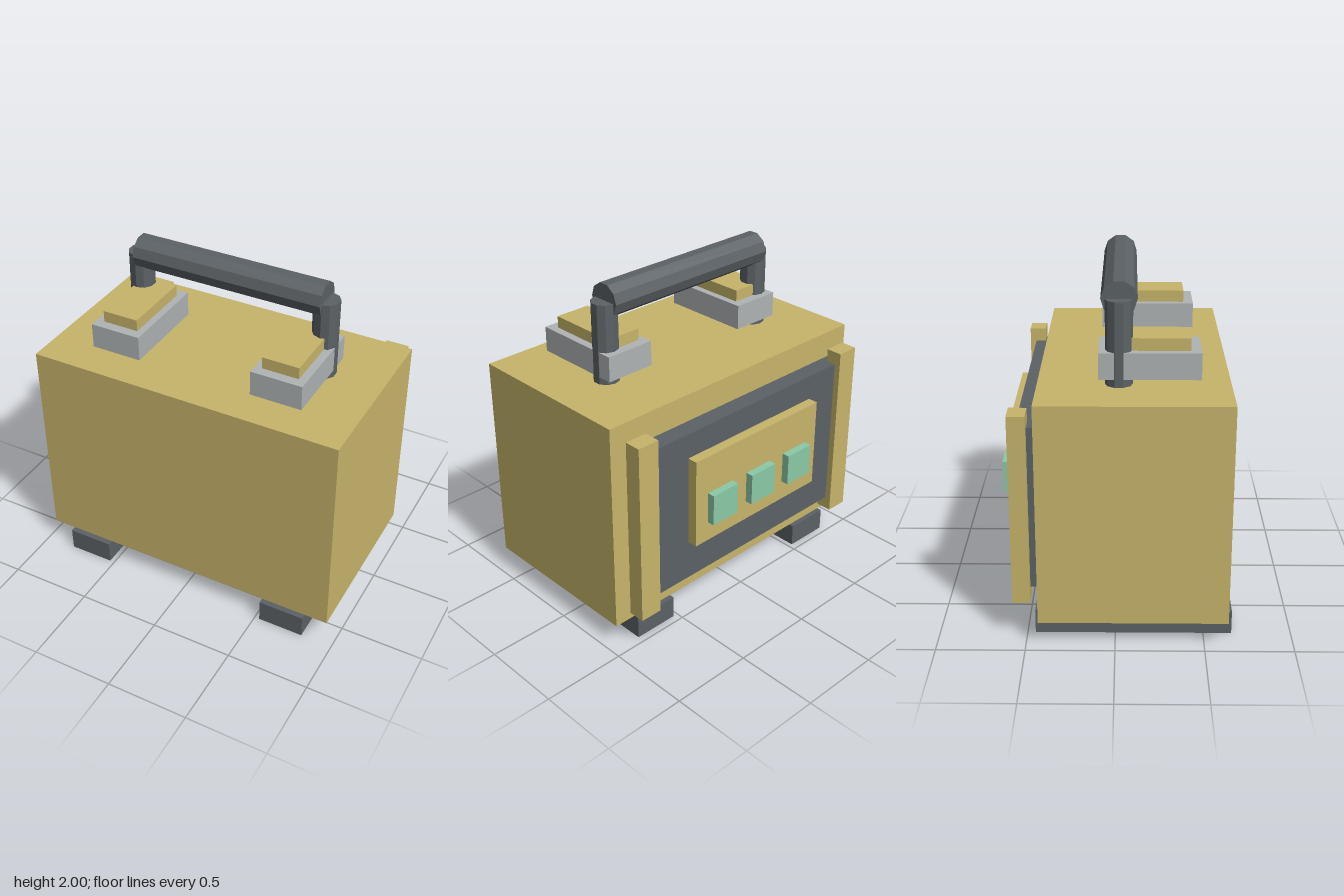
import * as THREE from 'three';

const mat = (name, color, flatShading = false) => {
  const m = new THREE.MeshStandardMaterial({ color, flatShading });
  m.name = name;
  return m;
};

export function createModel() {
  const gold = mat('gold', 0xc8b56b);
  const dark = mat('darkGrey', 0x5c6266, true);
  const grey = mat('lightGrey', 0xb0b4b5);
  const green = mat('green', 0x8ccaa8);
  const model = new THREE.Group();
  model.name = 'carryCase';

  const add = (name, geometry, material, x, y, z) => {
    const mesh = new THREE.Mesh(geometry, material);
    mesh.name = name;
    mesh.position.set(x, y, z);
    model.add(mesh);
    return mesh;
  };
  // Box given by its limits along each axis
  const box = (name, material, [x0, x1], [y0, y1], [z0, z1]) =>
    add(name, new THREE.BoxGeometry(x1 - x0, y1 - y0, z1 - z0), material,
      (x0 + x1) / 2, (y0 + y1) / 2, (z0 + z1) / 2);

  box('body', gold, [-0.95, 0.95], [0.146, 1.43], [-0.43, 0.632]);

  // Back panel with raised plate and three buttons
  box('backPanel', dark, [-0.835, 0.835], [0.31, 1.265], [-0.537, -0.43]);
  box('buttonPlate', gold, [-0.5, 0.5], [0.57, 1.123], [-0.611, -0.55]);
  for (const x of [-0.31, 0, 0.31]) {
    box('button', green, [x - 0.097, x + 0.097], [0.693, 0.886], [-0.657, -0.605]);
  }

  // Parts on both sides
  for (const s of [-1, 1]) {
    const side = s > 0 ? 'left' : 'right';
    const span = (a, b) => (s > 0 ? [a, b] : [-b, -a]);
    box(side + 'Foot', dark, span(0.53, 0.808), [0, 0.14], [-0.455, 0.662]);
    box(side + 'Rail', gold, span(0.742, 0.88), [0.23, 1.345], [-0.575, -0.475]);
    box(side + 'Latch', grey, span(0.35, 0.658), [1.475, 1.625], [-0.093, 0.465]);
    box(side + 'LatchCap', gold, span(0.392, 0.611), [1.625, 1.695], [-0.035, 0.407]);
    add(side + 'HandlePost', new THREE.CylinderGeometry(0.076, 0.076, 0.475, 10),
      dark, s * 0.587, 1.667, 0.018);
  }

  // Ten-sided handle grip
  const grip = add('handleGrip', new THREE.CylinderGeometry(0.1, 0.1, 1.172, 10), dark, 0, 1.905, 0.018);
  grip.rotation.z = Math.PI / 2;

  return model;
}
